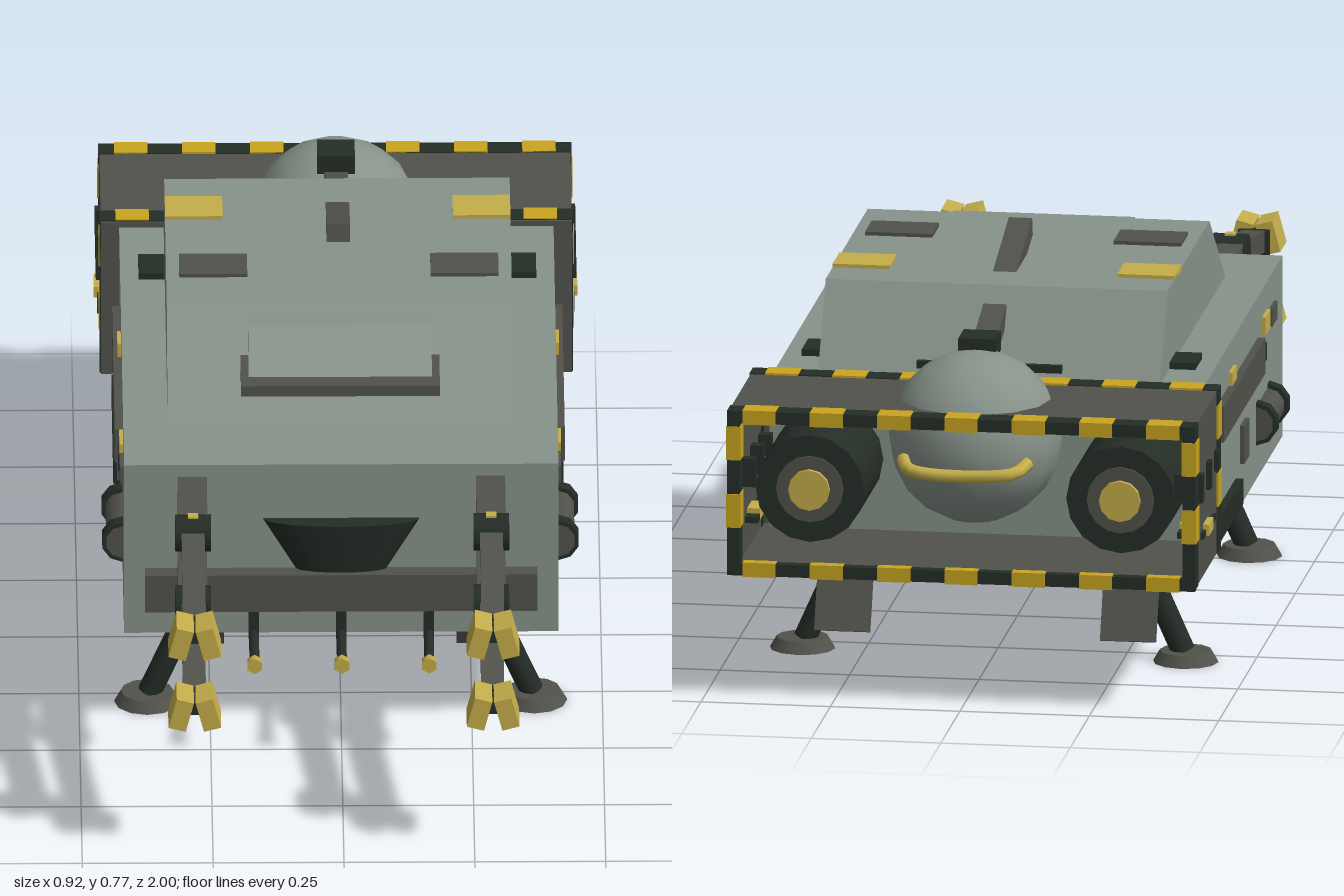
import * as THREE from 'three';

const mat = (name, color) => Object.assign(new THREE.MeshStandardMaterial({ color }), { name });

export function createModel() {
  const hull = mat('hull grey green', 0x87938a);
  const dark = mat('dark grey', 0x52524c);
  const black = mat('green black', 0x252d27);
  const yellow = mat('soft yellow', 0xc4ae4a);
  const hazard = mat('hazard yellow', 0xc9a51f);
  const root = new THREE.Group();
  root.name = 'armouredCarrier';

  const add = (name, geo, m, x = 0, y = 0, z = 0, parent = root) => {
    const mesh = new THREE.Mesh(geo, m);
    mesh.name = name;
    mesh.position.set(x, y, z);
    parent.add(mesh);
    return mesh;
  };
  // Box given by its limits on each axis
  const box = (name, m, x0, x1, y0, y1, z0, z1, parent = root) =>
    add(name, new THREE.BoxGeometry(Math.abs(x1 - x0), Math.abs(y1 - y0), Math.abs(z1 - z0)), m,
      (x0 + x1) / 2, (y0 + y1) / 2, (z0 + z1) / 2, parent);
  // Side profile of [z, y] points, extruded across x
  const prism = (name, m, pts, width) => {
    const shape = new THREE.Shape(pts.map(p => new THREE.Vector2(...p)));
    const geo = new THREE.ExtrudeGeometry(shape, { depth: width, bevelEnabled: false });
    geo.translate(0, 0, -width / 2).rotateY(-Math.PI / 2);
    return add(name, geo, m);
  };
  // Box or cylinder running between two points
  const beam = (name, m, a, b, w, h, parent = root) => {
    const A = new THREE.Vector3(...a), B = new THREE.Vector3(...b);
    const mesh = add(name, new THREE.BoxGeometry(w, h, A.distanceTo(B)), m, 0, 0, 0, parent);
    mesh.position.copy(A).lerp(B, 0.5);
    mesh.quaternion.setFromUnitVectors(new THREE.Vector3(0, 0, 1), B.clone().sub(A).normalize());
    return mesh;
  };
  const rod = (name, m, a, b, r, parent = root, sides = 10) => {
    const A = new THREE.Vector3(...a), B = new THREE.Vector3(...b);
    const mesh = add(name, new THREE.CylinderGeometry(r, r, A.distanceTo(B), sides), m, 0, 0, 0, parent);
    mesh.position.copy(A).lerp(B, 0.5);
    mesh.quaternion.setFromUnitVectors(new THREE.Vector3(0, 1, 0), B.clone().sub(A).normalize());
    return mesh;
  };

  // Hull and cabin
  box('hull', hull, -0.415, 0.415, 0.205, 0.56, -0.68, 0.41);
  prism('cabin', hull, [[0.235, 0.56], [0.03, 0.72], [-0.52, 0.72], [-0.62, 0.56]], 0.66);
  prism('windowHood', hull, [[0.04, 0.705], [0.1, 0.705], [0.215, 0.652], [0.19, 0.6], [0.1, 0.62]], 0.35);
  box('windowLip', dark, -0.19, 0.19, 0.63, 0.652, 0.1, 0.255);
  box('rearVent', black, -0.14, 0.14, 0.575, 0.59, -0.62, -0.608);

  // Front bumper, scoop and probes
  box('bumper', dark, -0.375, 0.375, 0.265, 0.342, 0.4, 0.445);
  add('scoop', new THREE.CylinderGeometry(0.15, 0.06, 0.15, 20), black, 0, 0.372, 0.41).scale.z = 0.27;
  for (const x of [-0.167, 0, 0.167]) {
    box('probePost', black, x - 0.01, x + 0.01, 0.2, 0.27, 0.41, 0.43);
    rod('probe', black, [x, 0.21, 0.4], [x, 0.21, 0.56], 0.01);
    rod('probeTip', yellow, [x, 0.21, 0.553], [x, 0.21, 0.572], 0.016, root, 6);
  }

  // Belly panel with lamps
  box('bellyPanel', black, -0.055, 0.055, 0.199, 0.21, -0.01, 0.31);
  for (const z of [0.06, 0.155, 0.25]) box('bellyLamp', yellow, -0.036, 0.036, 0.19, 0.204, z - 0.03, z + 0.03);

  for (const s of [-1, 1]) {
    // Arms with splayed claws
    for (const y of [0.51, 0.36]) {
      const arm = new THREE.Group();
      arm.name = 'arm';
      arm.position.set(s * 0.285, y, 0);
      root.add(arm);
      box('upperArm', dark, -0.028, 0.028, -0.025, 0.025, 0.4, 0.61, arm);
      rod('elbow', black, [-0.034, 0.002, 0.61], [0.034, 0.002, 0.61], 0.036, arm);
      box('elbowPin', yellow, -0.01, 0.01, 0.03, 0.04, 0.6, 0.62, arm);
      beam('forearm', dark, [0, 0, 0.61], [0, -0.055, 0.93], 0.044, 0.042, arm);
      box('wrist', black, -0.03, 0.03, -0.08, -0.03, 0.905, 0.93, arm);
      for (const t of [-1, 1])
        add('claw', new THREE.BoxGeometry(0.034, 0.062, 0.08), yellow, t * 0.026, -0.048, 0.96, arm).rotation.z = t * 0.26;
    }

    // Legs with pads and blast plates
    for (const z of [0.283, -0.55]) {
      box('hip', black, s * 0.225, s * 0.345, 0.19, 0.207, z - 0.06, z + 0.06);
      box('hipPin', yellow, s * 0.25, s * 0.28, 0.18, 0.2, z - 0.025, z + 0.025);
      rod('leg', black, [s * 0.285, 0.2, z], [s * 0.365, 0.02, z], 0.023);
      add('footPad', new THREE.CylinderGeometry(0.05, 0.063, 0.022, 12), dark, s * 0.37, 0.011, z);
      beam('blastPlate', dark, [s * 0.276, 0.195, z - 0.065], [s * 0.276, 0.065, z - 0.12], 0.108, 0.006);
    }

    // Roof and hull-top plates
    box('roofPanel', yellow, s * 0.22, s * 0.33, 0.715, 0.727, -0.43, -0.34);
    box('roofHatch', dark, s * 0.175, s * 0.305, 0.715, 0.727, -0.175, -0.085);
    box('deckBlock', black, s * 0.33, s * 0.38, 0.555, 0.573, -0.495, -0.41);

    // Flank fittings: material, z from, z to, y from, y to, outer x
    for (const [name, m, z0, z1, y0, y1, x] of [
      ['flankRail', dark, -0.46, 0.085, 0.41, 0.48, 0.43],
      ['flankSkid', black, -0.585, -0.205, 0.225, 0.275, 0.43],
      ['flankHatch', dark, -0.15, -0.085, 0.29, 0.365, 0.424],
      ['flankMarker', yellow, 0.14, 0.205, 0.47, 0.506, 0.422],
      ['flankMarker', yellow, -0.295, -0.235, 0.48, 0.506, 0.422],
      ['flankVent', dark, 0.23, 0.295, 0.465, 0.5, 0.422],
      ['flankVent', black, 0.088, 0.145, 0.422, 0.456, 0.424],
      ['bayPort', black, -0.725, -0.7, 0.42, 0.46, 0.459],
      ['bayPort', black, -0.83, -0.803, 0.41, 0.465, 0.459],
      ['bayPort', black, -0.935, -0.91, 0.41, 0.465, 0.459],
      ['bayStep', black, -0.9, -0.74, 0.33, 0.342, 0.456],
      ['bayMarker', yellow, -0.87, -0.81, 0.33, 0.352, 0.462],
    ]) box(name, m, s * 0.405, s * x, y0, y1, z0, z1);

    // Side canister
    rod('canister', dark, [s * 0.415, 0.315, 0.06], [s * 0.415, 0.315, 0.24], 0.034);
    for (const z of [0.075, 0.225])
      rod('canisterBand', black, [s * 0.415, 0.315, z - 0.014], [s * 0.415, 0.315, z + 0.014], 0.042);

    // Rear thrusters
    rod('thruster', black, [s * 0.3, 0.41, -0.65], [s * 0.3, 0.41, -0.93], 0.105, root, 16);
    rod('thrusterRing', dark, [s * 0.3, 0.41, -0.925], [s * 0.3, 0.41, -0.935], 0.065, root, 16);
    rod('thrusterCore', yellow, [s * 0.3, 0.41, -0.9], [s * 0.3, 0.41, -0.945], 0.04, root, 12);

    // Bay side wall with striped edges
    box('bayWall', dark, s * 0.43, s * 0.45, 0.25, 0.57, -0.982, -0.64);
    for (const [z0, z1] of [[-0.985, -0.942], [-0.69, -0.645]]) {
      box('sideStripe', black, s * 0.428, s * 0.452, 0.25, 0.57, z0, z1);
      for (const y of [0.508, 0.375])
        box('sideStripeMark', hazard, s * 0.426, s * 0.454, y - 0.033, y + 0.033, z0 - 0.002, z1);
    }
  }

  // Rear bay, open at the back
  box('bayFront', dark, -0.45, 0.45, 0.25, 0.57, -0.66, -0.64);
  for (const [y0, y1, top] of [[0.55, 0.57, true], [0.25, 0.27, false]]) {
    box('bayPlate', dark, -0.45, 0.45, y0, y1, -0.982, -0.64);
    const bands = top ? [[-0.985, -0.942], [-0.69, -0.645]] : [[-0.985, -0.965]];
    for (const [z0, z1] of bands) {
      box('edgeStripe', black, -0.452, 0.452, y0 - 0.002, y1 + 0.002, z0, z1);
      for (let i = -3; i <= 3; i++)
        box('edgeStripeMark', hazard, i * 0.13 - 0.032, i * 0.13 + 0.032, y0 - 0.004, y1 + 0.004, z0 - 0.002, z1);
    }
  }

  // Dome turret, barrel and rear handle
  add('dome', new THREE.SphereGeometry(0.167, 14, 10), hull, 0, 0.493, -0.798);
  box('domeCap', black, -0.036, 0.036, 0.64, 0.678, -0.778, -0.705);
  beam('barrel', dark, [0, 0.622, -0.72], [0, 0.757, -0.203], 0.045, 0.036);
  const grip = new THREE.CatmullRomCurve3([[-0.12, 0.475, -0.93], [-0.1, 0.465, -0.975], [0, 0.458, -0.982],
    [0.1, 0.465, -0.975], [0.12, 0.475, -0.93]].map(p => new THREE.Vector3(...p)));
  add('rearHandle', new THREE.TubeGeometry(grip, 16, 0.013, 8), yellow);

  return root;
}
